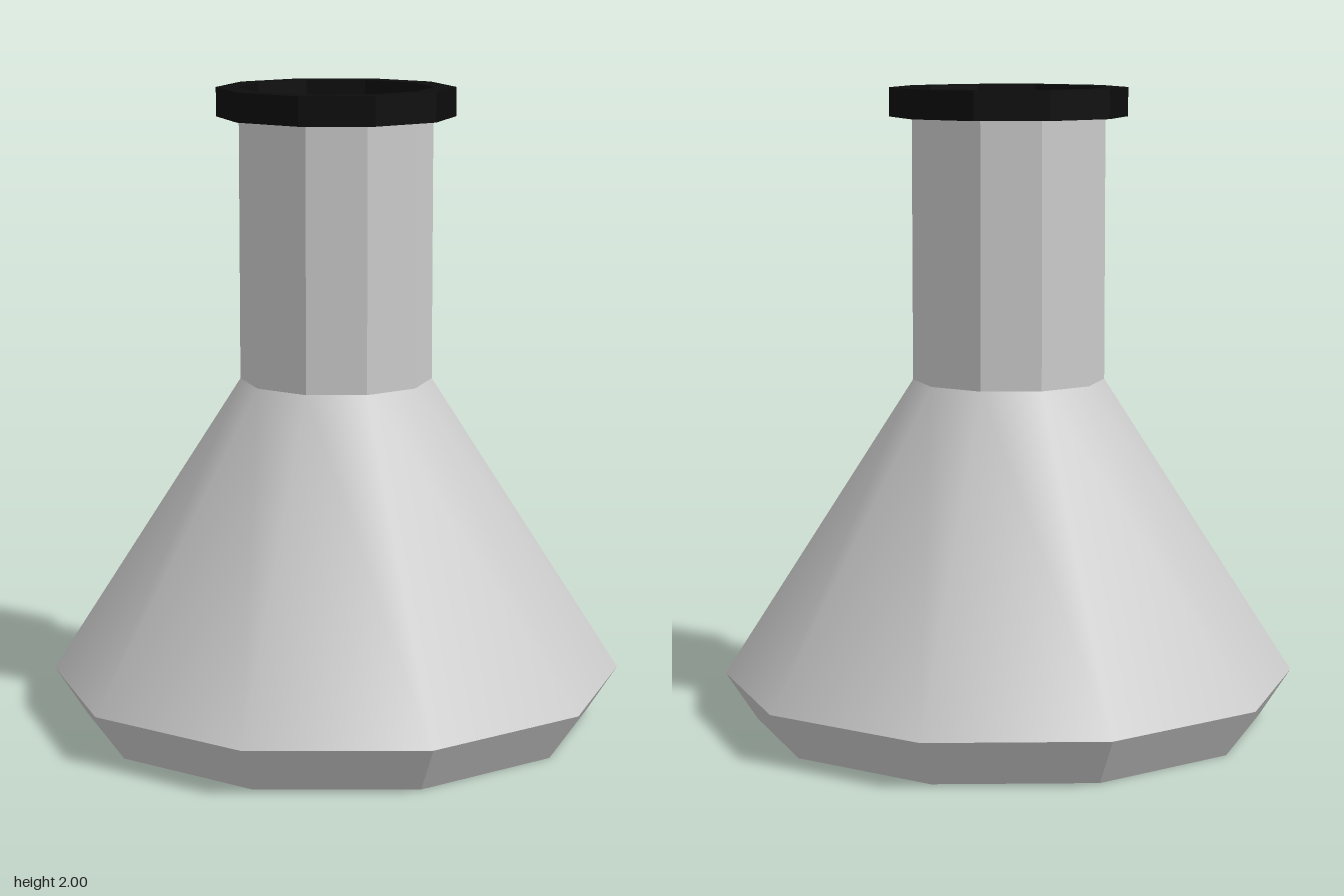
import * as THREE from 'three';

const SIDES = 10;

// Revolve a profile of [radius, height] points, with corners on the x axis
function revolve(name, profile, options = {}) {
  const points = profile.map(([r, y]) => new THREE.Vector2(r, y));
  const geometry = new THREE.LatheGeometry(points, SIDES).rotateY(Math.PI / 2);
  const material = new THREE.MeshStandardMaterial({ color: 0xcccccc, flatShading: true, ...options });
  const mesh = new THREE.Mesh(geometry, material);
  mesh.name = name;
  return mesh;
}

export function createModel() {
  const flask = new THREE.Group();
  flask.name = 'flask';
  const open = { side: THREE.DoubleSide };

  // Flat bottom and bevelled foot
  flask.add(revolve('base', [[0, 0], [0.8, 0], [0.9, 0.15]], open));

  // Smooth sloping shoulder
  flask.add(revolve('body', [[0.9, 0.15], [0.3, 1.09]], { ...open, flatShading: false }));

  // Faceted open neck
  flask.add(revolve('neck', [[0.3, 1.09], [0.3, 1.91]], open));

  // Dark collar around the mouth
  flask.add(revolve('rim',
    [[0.3, 1.91], [0.37, 1.91], [0.37, 2], [0.3, 2], [0.3, 1.91]],
    { color: 0x0c0c0c }));

  // Liquid surface inside the body
  flask.add(revolve('liquid', [[0.61, 0.6], [0, 0.6]], { ...open, color: 0xb0d8b0 }));

  return flask;
}
